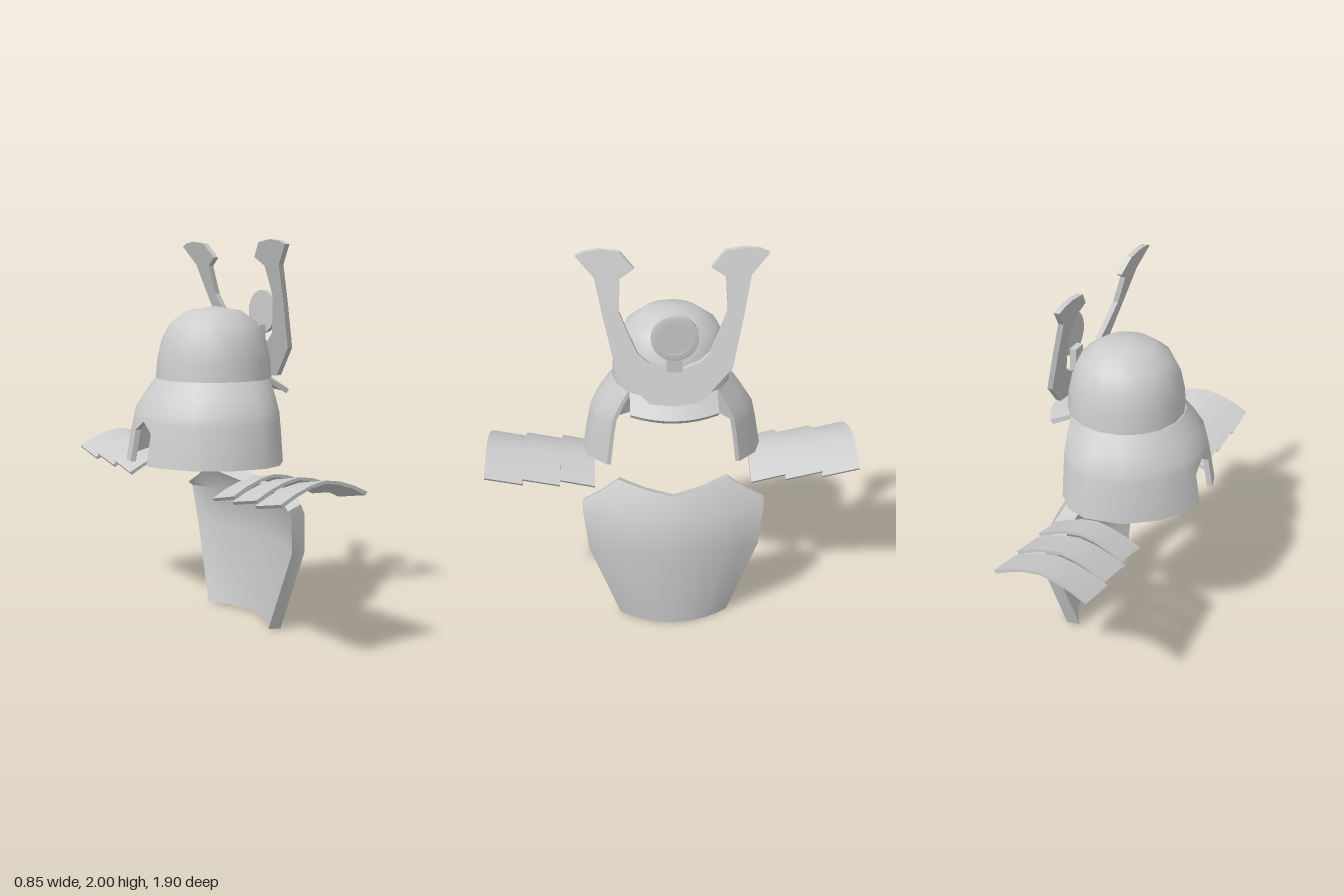
import * as THREE from 'three';
import { toCreasedNormals } from 'three/addons/utils/BufferGeometryUtils.js';

const material = new THREE.MeshStandardMaterial({ color: 0xcccccc, side: THREE.DoubleSide });
const CENTER = 0.025; // x of the helmet axis

function part(geometry, name, crease = 0.6) {
  const mesh = new THREE.Mesh(toCreasedNormals(geometry, crease), material);
  mesh.name = name;
  return mesh;
}

// Linear interpolation through [key, value] pairs with rising keys
function interp(table, key) {
  let i = 1;
  while (i < table.length - 1 && key > table[i][0]) i++;
  const [k0, v0] = table[i - 1], [k1, v1] = table[i];
  return v0 + (v1 - v0) * THREE.MathUtils.clamp((key - k0) / (k1 - k0), 0, 1);
}

// Closed solid through equal loops of points; each loop runs out along one skin and back along the other
function loft(loops) {
  const n = loops[0].length, position = loops.flat(2), index = [];
  const quad = (a, b, c, d) => index.push(a, b, c, a, c, d);
  for (let i = 0; i < loops.length - 1; i++)
    for (let j = 0; j < n; j++) {
      const k = (j + 1) % n;
      quad(i * n + j, i * n + k, (i + 1) * n + k, (i + 1) * n + j);
    }
  const last = (loops.length - 1) * n;
  for (let j = 0; j < n / 2 - 1; j++) {
    quad(j, n - 1 - j, n - 2 - j, j + 1);
    quad(last + j, last + j + 1, last + n - 2 - j, last + n - 1 - j);
  }
  // Turn the faces outward when the enclosed volume is negative
  const at = (i) => new THREE.Vector3(...position.slice(i * 3, i * 3 + 3));
  let volume = 0;
  for (let i = 0; i < index.length; i += 3)
    volume += at(index[i]).dot(at(index[i + 1]).cross(at(index[i + 2])));
  if (volume < 0) index.reverse();
  const geometry = new THREE.BufferGeometry();
  geometry.setAttribute('position', new THREE.Float32BufferAttribute(position, 3));
  geometry.setIndex(index);
  return geometry;
}

// Rounded helmet bowl
function makeDome() {
  const profile = [[0.297, 1.31], [0.29, 1.4], [0.268, 1.5], [0.225, 1.585], [0.14, 1.648], [0, 1.672]];
  const geometry = new THREE.LatheGeometry(profile.map((p) => new THREE.Vector2(...p)), 18);
  geometry.translate(CENTER, 0, 0);
  return part(geometry, 'helmetDome', 0.8);
}

// Flared neck guard, open at the face, with an arched notch at the back
function makeNeckGuard() {
  const radius = [[0.9, 0.457], [1.07, 0.428], [1.15, 0.41], [1.23, 0.36], [1.31, 0.3]];
  const rows = [1.31, 1.23, 1.15, 1.11, 1.06, 0.9];
  const end = 47;
  // [angle from the face, bottom height]
  const half = [[end, 0.9], [68, 0.9], [90, 0.9], [114, 0.9], [138, 0.9], [159, 0.9], [170, 0.9], [170, 1.06]];
  const columns = [...half, [180, 1.11], ...half.map(([a, b]) => [360 - a, b]).reverse()];
  const loops = columns.map(([angle, bottom]) => {
    const a = THREE.MathUtils.degToRad(angle), c = Math.cos(a);
    const skin = (inset) => rows.map((row) => {
      const y = Math.max(row, bottom), r = interp(radius, y) - inset;
      const x = c > 0 ? (0.195 * c) / Math.cos(THREE.MathUtils.degToRad(end)) : r * c;
      return [CENTER + x, y, r * Math.sin(a)];
    });
    return [...skin(0), ...skin(0.028).reverse()];
  });
  return part(loft(loops), 'neckGuard', 0.7);
}

// Sloping brim over the face
function makeVisor() {
  const loops = [];
  for (let s = -1; s <= 1.01; s += 0.25) {
    const z = 0.213 * s;
    const inner = CENTER + Math.sqrt(0.295 ** 2 - z * z), outer = 0.422 - 0.075 * s * s;
    loops.push([[inner, 1.31, z], [outer, 1.245, z], [outer - 0.015, 1.225, z], [inner - 0.01, 1.288, z]]);
  }
  return part(loft(loops), 'visor');
}

// Tall two-pronged crest, leaning back
function makeCrest() {
  const half = [[0.12, 1.31], [0.275, 1.465], [0.33, 1.70], [0.367, 1.88], [0.452, 1.975], [0.41, 1.992],
    [0.34, 2], [0.245, 1.988], [0.18, 1.915], [0.248, 1.873], [0.255, 1.725], [0.215, 1.63], [0.17, 1.535],
    [0.12, 1.495], [0.035, 1.465]];
  const outline = [[0, 1.298], ...half, ...half.map(([z, y]) => [-z, y]).reverse()];
  const shape = new THREE.Shape(outline.map((p) => new THREE.Vector2(...p)));
  const geometry = new THREE.ExtrudeGeometry(shape, { depth: 0.028, bevelEnabled: false });
  geometry.rotateY(Math.PI / 2);
  const p = geometry.attributes.position;
  for (let i = 0; i < p.count; i++) p.setX(i, p.getX(i) + 0.342 - 0.319 * (p.getY(i) - 1.3));
  return part(geometry, 'crest', 0.3);
}

// Round badge on a short stem
function makeBadge() {
  const group = new THREE.Group();
  group.name = 'badge';
  const profile = [[0, -0.013], [0.112, -0.013], [0.112, 0.01], [0.1, 0.013], [0.08, 0.013], [0.08, 0.008], [0, 0.008]];
  const disc = new THREE.LatheGeometry(profile.map((p) => new THREE.Vector2(...p)), 24);
  disc.rotateZ(-Math.PI / 2);
  disc.translate(0.338, 1.637, 0);
  const stem = new THREE.BoxGeometry(0.036, 0.115, 0.074);
  stem.translate(0.308, 1.513, 0);
  group.add(part(disc, 'badgeDisc'), part(stem, 'badgeStem'));
  return group;
}

// Three overlapping arched plates; side is +1 or -1 along z
function makeShoulder(side) {
  const group = new THREE.Group();
  group.name = side > 0 ? 'shoulderGuardA' : 'shoulderGuardB';
  for (let k = 0; k < 3; k++) {
    const width = 0.237 + 0.007 * k, loops = [];
    const z0 = 0.398 + 0.186 * k - (k ? 0.01 : 0), z1 = 0.572 + 0.189 * k;
    const y0 = 0.856 + 0.016 * k, y1 = 0.897 + 0.016 * k;
    for (let i = 0; i <= 6; i++) {
      const s = i / 3 - 1, x = -0.014 + width * s, drop = 0.072 * Math.abs(s) ** 1.6 + 0.008 * s * s;
      const under = x - 0.012 * s, t = 0.015;
      loops.push([[x, y0 - drop, side * z0], [x, y1 - drop, side * z1],
        [under, y1 - drop - t, side * z1], [under, y0 - drop - t, side * z0]]);
    }
    group.add(part(loft(loops), 'shoulderPlate' + (k + 1)));
  }
  return group;
}

// Curved chest armour with a dipped neckline
function makeBreastplate() {
  const width = [[0, 0.285], [0.44, 0.437], [0.65, 0.462], [0.9, 0.467]];
  const front = [[0, 0.362], [0.44, 0.392], [0.65, 0.368], [0.755, 0.318], [0.815, 0.268]];
  const top = [[0, 0.757], [0.3, 0.782], [0.6, 0.815], [1, 0.7]];
  const loops = [-1, -0.8, -0.6, -0.3, 0, 0.3, 0.6, 0.8, 1].map((s) => {
    const outer = [0, 0.44, 0.65, interp(top, Math.abs(s))].map((y) =>
      [interp(front, y) - 0.108 * s * s, y, s * interp(width, y)]);
    const inner = outer.map(([x, y, z], i) => [x - 0.075, y + [0.012, 0, 0, -0.03][i], z * 0.985]);
    return [...outer, ...inner.reverse()];
  });
  return part(loft(loops), 'breastplate', 0.7);
}

export function createModel() {
  const model = new THREE.Group();
  model.name = 'armour';
  model.add(makeDome(), makeNeckGuard(), makeVisor(), makeCrest(), makeBadge(),
    makeShoulder(1), makeShoulder(-1), makeBreastplate());
  return model;
}
